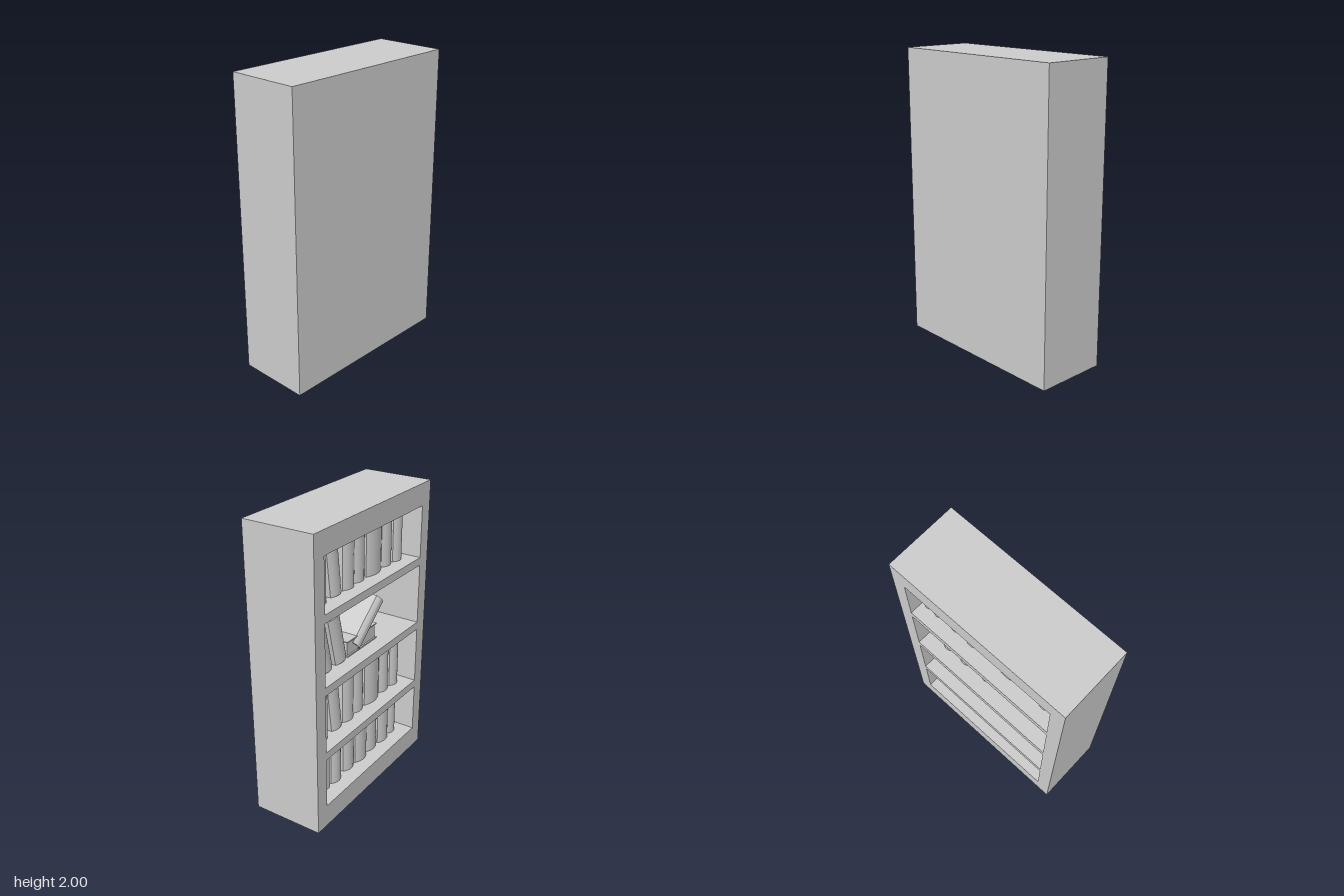
import * as THREE from 'three';
import { toCreasedNormals } from 'three/addons/utils/BufferGeometryUtils.js';

const W = 0.247, D = 0.65, H = 2, BACK = 0.2, SPINE = -0.135;
const mat = new THREE.MeshStandardMaterial({ color: 0xcccccc });

function add(parent, geometry, name) {
  const mesh = new THREE.Mesh(geometry, mat);
  mesh.name = name;
  parent.add(mesh);
  return mesh;
}

// Book standing upright: curved spine towards -x, thickness from z = -t/2 to t/2, base at y = 0
function book(t, h, d = 0.3) {
  const g = new THREE.Group();
  const c = 0.008, bulge = 0.05, r = t / 2;
  const s = new THREE.Shape();
  s.moveTo(d, r);
  s.lineTo(0, r);
  s.quadraticCurveTo(-bulge, 0, 0, -r);
  s.lineTo(d, -r);
  s.lineTo(d, -r + c);
  s.lineTo(c, -r + c);
  s.quadraticCurveTo(c - bulge, 0, c, r - c);
  s.lineTo(d, r - c);
  const cover = new THREE.ExtrudeGeometry(s, { depth: h, bevelEnabled: false, curveSegments: 10 });
  cover.rotateX(-Math.PI / 2);
  add(g, toCreasedNormals(cover, 0.6), 'bookCover');

  const pages = new THREE.BoxGeometry(d - 0.02, h - 0.02, t - 2 * c);
  pages.translate(d / 2, h / 2, 0);
  add(g, pages, 'bookPages');
  return g;
}

export function createModel() {
  const model = new THREE.Group();
  model.name = 'bookcase';

  // Carcass: outer frame and shelves, with four openings facing -x
  const bays = [[0.155, 0.505], [0.56, 0.965], [1.02, 1.44], [1.495, 1.85]];
  const s = new THREE.Shape();
  s.moveTo(-D, 0);
  s.lineTo(D, 0);
  s.lineTo(D, H);
  s.lineTo(-D, H);
  for (const [y0, y1] of bays) {
    const hole = new THREE.Path();
    hole.moveTo(-0.553, y0);
    hole.lineTo(-0.553, y1);
    hole.lineTo(0.553, y1);
    hole.lineTo(0.553, y0);
    s.holes.push(hole);
  }
  const frame = new THREE.ExtrudeGeometry(s, { depth: W + BACK, bevelEnabled: false });
  frame.rotateY(-Math.PI / 2);
  frame.translate(BACK, 0, 0);
  add(model, frame, 'frameAndShelves');

  // Closed panel behind the shelves
  const panel = new THREE.BoxGeometry(W - BACK, H, 2 * D);
  panel.translate((W + BACK) / 2, H / 2, 0);
  add(model, panel, 'backPanel');

  // Places a book between z0 and z1; a lean tips its top towards +z (positive) or -z
  function place(bay, z0, z1, h, lean = 0, x = SPINE) {
    const t = z1 - z0;
    const pivot = new THREE.Group();
    pivot.name = 'book';
    const b = book(t, h);
    b.position.z = lean > 0 ? -t / 2 : t / 2;
    pivot.add(b);
    pivot.position.set(x, bays[bay][0], lean > 0 ? z1 : z0);
    pivot.rotation.x = lean;
    model.add(pivot);
  }

  // Bottom shelf: all upright
  const low = [-0.55, -0.45, -0.35, -0.23, -0.06, 0.09, 0.235, 0.375, 0.49];
  for (let i = 0; i < low.length - 1; i++) {
    place(0, low[i] + (i === 3 ? 0.045 : 0.004), low[i + 1], 0.3 + 0.012 * (i % 3), 0, SPINE + 0.01 * (i % 2));
  }

  // Second and top shelves: an upright row with one book tipped against its neighbours
  const row = [-0.213, -0.08, 0.05, 0.235, 0.375, 0.49];
  for (const [bay, h] of [[1, 0.35], [3, 0.3]]) {
    place(bay, -0.55, -0.47, h);
    place(bay, -0.466, -0.385, h + 0.01);
    place(bay, -0.335, -0.22, h, -0.13);
    for (let i = 0; i < row.length - 1; i++) {
      place(bay, row[i] + (i === 3 ? 0.02 : 0.006), row[i + 1], h + 0.012 * (i % 3), 0, SPINE + 0.01 * (i % 2));
    }
  }

  // Third shelf: two tipped books, one resting on a book lying flat
  place(2, -0.435, -0.32, 0.34, -0.24);
  place(2, -0.285, -0.165, 0.34, -0.24);
  place(2, -0.125, -0.025, 0.36, 0.89);
  const flat = book(0.11, 0.35, 0.31);
  flat.name = 'flatBook';
  flat.rotation.set(Math.PI / 2, 0, Math.PI);
  flat.position.set(0.17, bays[2][0] + 0.055, 0.19);
  model.add(flat);

  return model;
}
